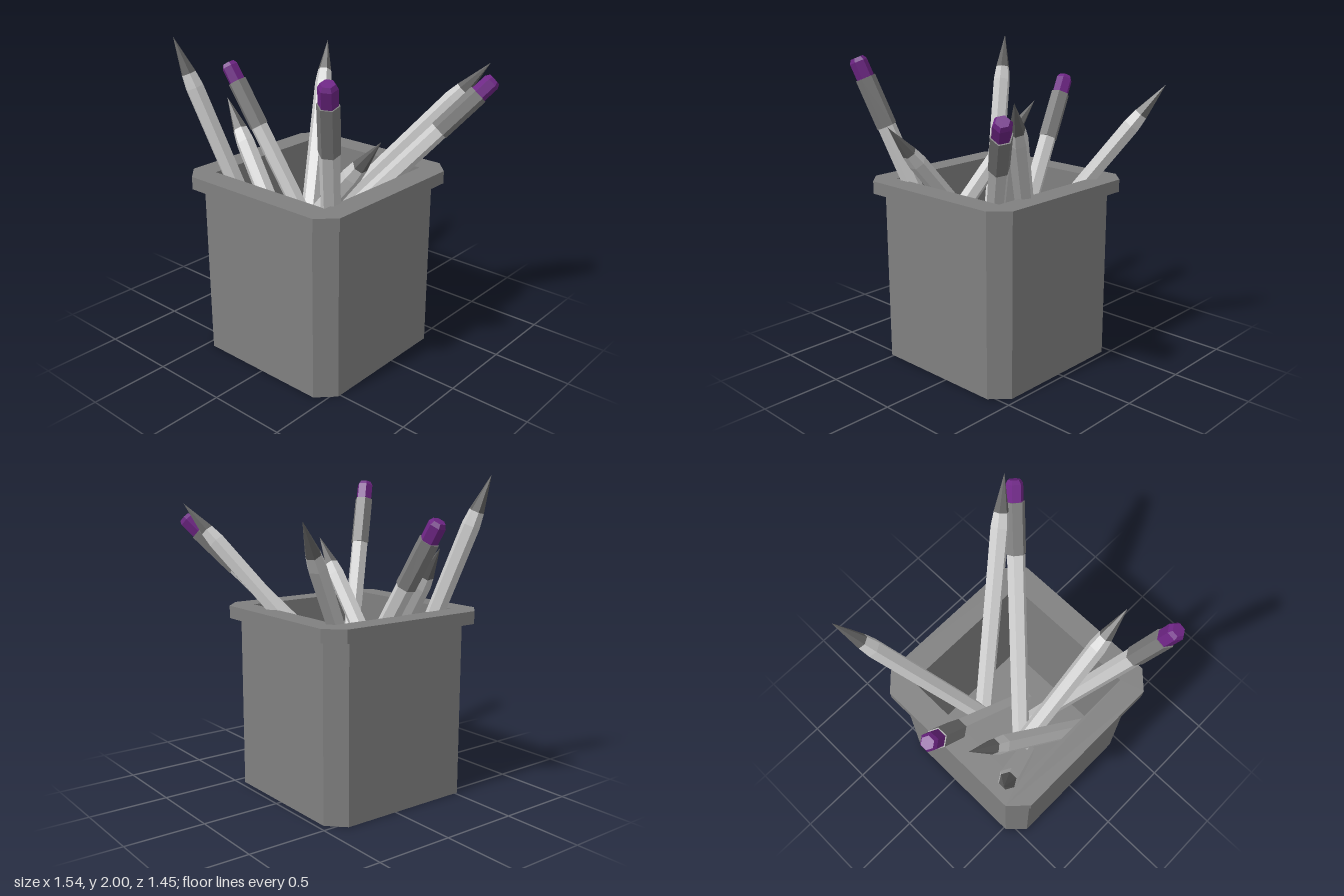
import * as THREE from 'three';

const paint = (color) => new THREE.MeshStandardMaterial({ color, flatShading: true });
const wood = paint(0xcccccc);
const cupGrey = paint(0x808080);
const metal = paint(0x7c7c7c);
const lead = paint(0x626262);
const purple = paint(0x6e2585);
const R = 0.058; // pencil radius

// Square outline with cut corners
function chamferedSquare(half, cut) {
  const c = half - cut;
  return new THREE.Shape([
    [c, -half], [half, -c], [half, c], [c, half],
    [-c, half], [-half, c], [-half, -c], [-c, -half],
  ].map(([x, y]) => new THREE.Vector2(x, y)));
}

// Horizontal slab between two heights, with an optional square opening
function slab(name, half, cut, y0, y1, hole) {
  const shape = chamferedSquare(half, cut);
  if (hole) shape.holes.push(chamferedSquare(hole, 0));
  const geo = new THREE.ExtrudeGeometry(shape, { depth: y1 - y0, bevelEnabled: false });
  geo.rotateX(-Math.PI / 2).translate(0, y0, 0);
  const mesh = new THREE.Mesh(geo, cupGrey);
  mesh.name = name;
  return mesh;
}

// Six-sided turned piece from [radius, height] pairs, bottom to top
function hexPart(name, profile, material) {
  const points = profile.map(([r, y]) => new THREE.Vector2(r, y));
  const mesh = new THREE.Mesh(new THREE.LatheGeometry(points, 6), material);
  mesh.name = name;
  return mesh;
}

// Pencil running from its lower end to its upper end
function pencil(kind, top, bottom) {
  const group = new THREE.Group();
  group.name = kind + 'Pencil';
  const end = new THREE.Vector3(...top);
  const start = new THREE.Vector3(...bottom);
  const axis = end.clone().sub(start);
  const L = axis.length();
  if (kind === 'sharpened') {
    group.add(
      hexPart('pencilShaft', [[0, 0], [R, 0], [R, L - 0.32], [0.047, L - 0.23]], wood),
      hexPart('pencilTip', [[0.047, L - 0.23], [0, L]], lead));
  } else {
    group.add(
      hexPart('pencilShaft', [[0, 0], [R, 0], [R, L - 0.45]], wood),
      hexPart('ferrule', [[R, L - 0.45], [R + 0.005, L - 0.45], [R + 0.005, L - 0.13], [0.05, L - 0.13]], metal),
      hexPart('eraser', [[0.055, L - 0.13], [0.055, L - 0.025], [0.04, L], [0, L]], purple));
  }
  group.position.copy(start);
  group.quaternion.setFromUnitVectors(new THREE.Vector3(0, 1, 0), axis.normalize());
  return group;
}

export function createModel() {
  const model = new THREE.Group();
  model.name = 'pencilCup';

  // Cup: floor, hollow body and wider rim
  const cup = new THREE.Group();
  cup.name = 'cup';
  cup.position.set(-0.007, 0, 0.08);
  cup.add(
    slab('cupFloor', 0.543, 0.105, 0, 0.08),
    slab('cupBody', 0.543, 0.105, 0.08, 1.1, 0.445),
    slab('cupRim', 0.596, 0.105, 1.1, 1.18, 0.445));
  model.add(cup);

  // Pencils: kind, upper end, lower end
  const pencils = [
    ['sharpened', [-0.66, 2.0, 0.62], [-0.08, 0.22, 0.26]],
    ['sharpened', [-0.64, 1.78, -0.73], [-0.2, 0.7, -0.03]],
    ['sharpened', [0.69, 1.82, -0.71], [-0.17, 0.68, -0.06]],
    ['sharpened', [0.66, 1.56, 0.32], [-0.17, 0.6, 0.27]],
    ['sharpened', [-0.59, 1.58, 0.28], [0.23, 0.61, 0.485]],
    ['eraser', [-0.735, 1.75, 0.13], [0.22, 0.1, -0.05]],
    ['eraser', [0.592, 1.935, 0.675], [0.13, 0.1, 0.09]],
    ['eraser', [0.74, 1.73, -0.68], [-0.12, 0.52, 0.24]],
  ];
  for (const p of pencils) model.add(pencil(...p));

  return model;
}
